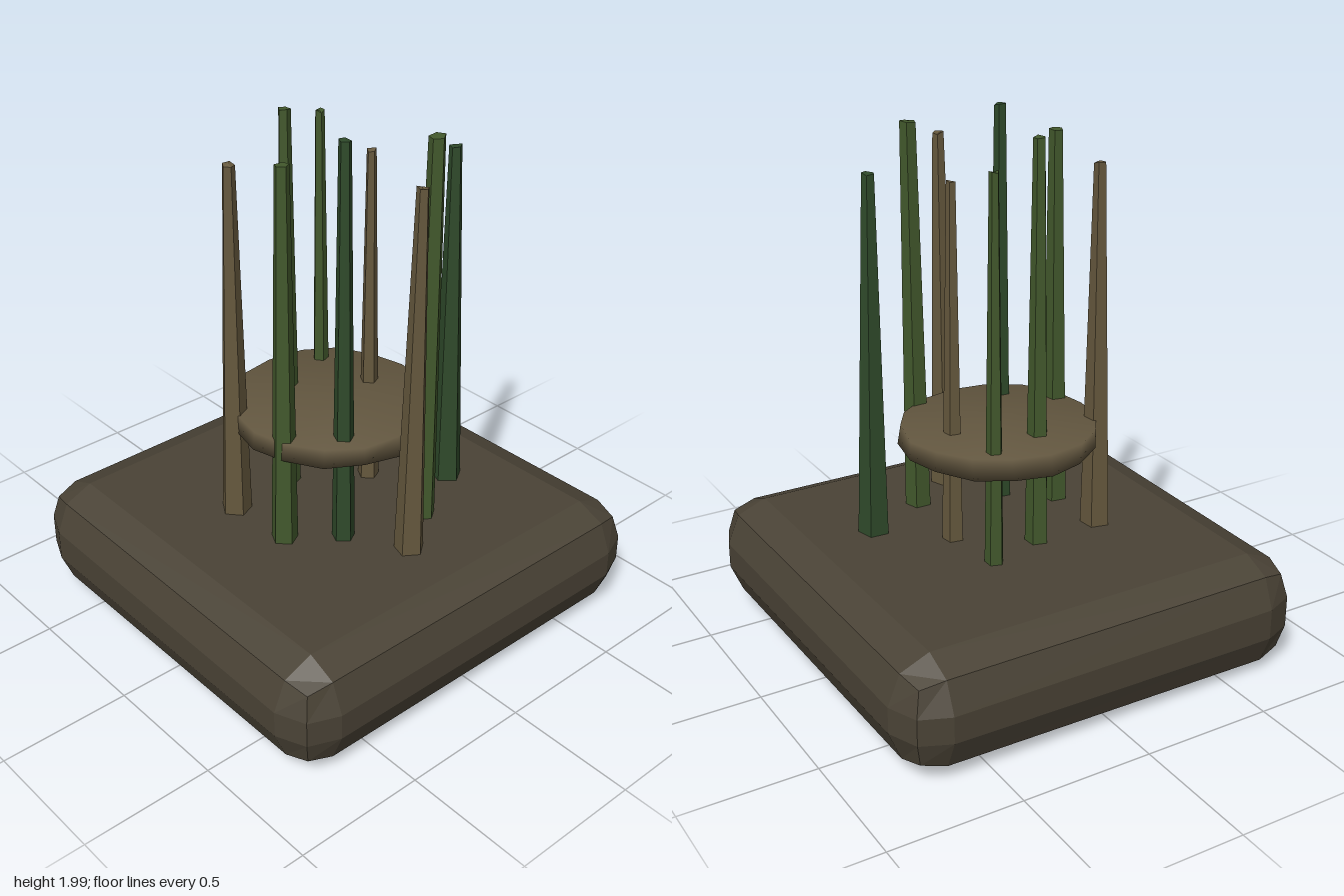
import * as THREE from 'three';
import { mergeVertices } from 'three/addons/utils/BufferGeometryUtils.js';
import { RoundedBoxGeometry } from 'three/addons/geometries/RoundedBoxGeometry.js';

const SOIL = 0x4a4336, PAD = 0x62563f, BROWN = 0x65583d, GREEN = 0x42582c, DARK_GREEN = 0x2f4a2a;

// seeded jitter in the range -1..1
let seed = 7;
const jitter = () => {
  seed = (seed * 16807) % 2147483647;
  return (seed / 2147483647) * 2 - 1;
};

function makeMesh(name, geometry, color, flatShading) {
  const mesh = new THREE.Mesh(geometry, new THREE.MeshStandardMaterial({ color, flatShading }));
  mesh.name = name;
  return mesh;
}

// move every vertex by a rule that edits the vector in place
function warp(geometry, rule) {
  const pos = geometry.attributes.position;
  const v = new THREE.Vector3();
  for (let i = 0; i < pos.count; i++) {
    rule(v.fromBufferAttribute(pos, i));
    pos.setXYZ(i, v.x, v.y, v.z);
  }
  return geometry;
}

// drop normals and uvs so shared corners become one vertex
function weld(geometry) {
  geometry.deleteAttribute('normal');
  geometry.deleteAttribute('uv');
  return mergeVertices(geometry, 1e-4);
}

// bevelled ground slab, slightly uneven
function groundSlab() {
  const geometry = new RoundedBoxGeometry(1.66, 0.42, 1.66, 1, 0.16);
  warp(geometry, (v) => {
    const { x, y, z } = v;
    v.z *= 1 + 0.015 * x;
    v.x *= 1 - 0.005 * z;
    v.y += 0.23;
    // the front right corner of the underside sags
    if (y < 0) v.y -= 0.02 * Math.max(0, (z - x) / 1.6);
  });
  geometry.computeVertexNormals();
  return makeMesh('groundSlab', geometry, SOIL, true);
}

// thin round pad, soft shaded across its rim
function pad() {
  const geometry = weld(new THREE.CylinderGeometry(0.367, 0.373, 0.074, 16));
  warp(geometry, (v) => {
    if (Math.hypot(v.x, v.z) > 0.1) {
      v.x += 0.006 * jitter();
      v.y += 0.006 * jitter();
      v.z += 0.006 * jitter();
    }
    v.y += 0.834;
  });
  geometry.computeVertexNormals();
  return makeMesh('pad', geometry, PAD, false);
}

// five-sided tapering stalk rising from the slab
function stalk({ x, z, top, r, tip, color, lean = [0, 0] }, i) {
  const bottom = 0.4;
  const geometry = weld(new THREE.CylinderGeometry(tip, r, top - bottom, 5));
  geometry.rotateY(i * 1.3);
  warp(geometry, (v) => {
    const high = v.y > 0;
    v.x += x + (high ? lean[0] : 0);
    v.z += z + (high ? lean[1] : 0);
    v.y = high ? top - 0.006 * (1 + jitter()) : bottom;
  });
  geometry.computeVertexNormals();
  return makeMesh('stalk' + (i + 1), geometry, color, true);
}

const STALKS = [
  { x: -0.248, z: -0.165, top: 1.89, r: 0.037, tip: 0.018, color: GREEN },
  { x: -0.18, z: 0.06, top: 1.97, r: 0.047, tip: 0.023, color: GREEN, lean: [0, -0.005] },
  { x: -0.162, z: 0.335, top: 1.845, r: 0.06, tip: 0.023, color: BROWN, lean: [0.01, -0.01] },
  { x: -0.005, z: -0.2, top: 1.81, r: 0.043, tip: 0.018, color: BROWN, lean: [0.005, 0.01] },
  { x: 0.105, z: 0.32, top: 1.92, r: 0.052, tip: 0.027, color: GREEN, lean: [0, -0.015] },
  { x: 0.24, z: 0.15, top: 2.0, r: 0.045, tip: 0.023, color: DARK_GREEN },
  { x: 0.2, z: -0.428, top: 1.825, r: 0.062, tip: 0.024, color: DARK_GREEN, lean: [-0.005, 0.018] },
  { x: 0.328, z: -0.17, top: 1.955, r: 0.052, tip: 0.031, color: GREEN, lean: [0, -0.012] },
  { x: 0.456, z: 0.02, top: 1.87, r: 0.058, tip: 0.022, color: BROWN, lean: [0.008, -0.006] },
];

export function createModel() {
  const model = new THREE.Group();
  model.name = 'stalksWithPad';
  const stalks = new THREE.Group();
  stalks.name = 'stalks';
  stalks.add(...STALKS.map(stalk));
  model.add(groundSlab(), pad(), stalks);
  return model;
}
